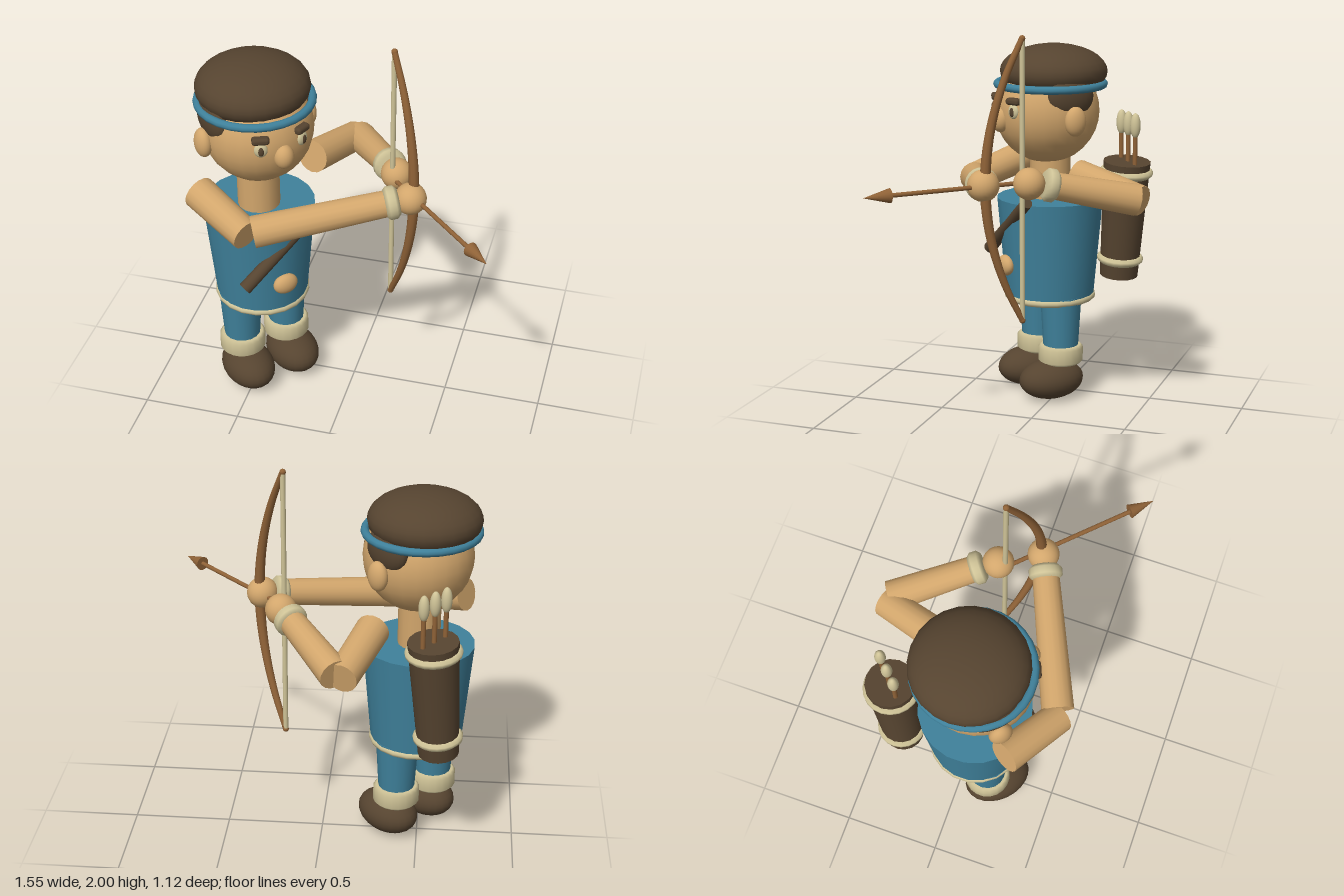
import * as THREE from 'three';
import { RoundedBoxGeometry } from 'three/addons/geometries/RoundedBoxGeometry.js';

const mat = (name, color) => {
  const m = new THREE.MeshStandardMaterial({ color });
  m.name = name;
  return m;
};

export function createModel() {
  const skin = mat('skin', 0xd2a66c);
  const blue = mat('blue cloth', 0x3f819b);
  const dark = mat('dark brown', 0x564430);
  const cream = mat('cream', 0xcfc397);
  const wood = mat('wood', 0x8f6237);

  const model = new THREE.Group();
  model.name = 'archer';
  // The figure faces diagonally, the bow side stays in model axes
  const body = new THREE.Group();
  body.name = 'body';
  body.position.set(-0.48, 0, 0.06);
  body.rotation.y = Math.PI / 4;
  model.add(body);

  const V = (p) => new THREE.Vector3(...p);
  const add = (parent, name, geo, material, pos = [0, 0, 0]) => {
    const m = new THREE.Mesh(geo, material);
    m.name = name;
    m.position.set(...pos);
    parent.add(m);
    return m;
  };
  const ball = (parent, name, material, pos, rx, ry = rx, rz = rx) =>
    add(parent, name, new THREE.SphereGeometry(1, 24, 16).scale(rx, ry, rz), material, pos);
  const alongY = (mesh, a, b) =>
    mesh.quaternion.setFromUnitVectors(new THREE.Vector3(0, 1, 0), V(b).sub(V(a)).normalize());
  // Tapered cylinder from point a to point b
  const rod = (name, material, a, b, ra, rb = ra) => {
    const geo = new THREE.CylinderGeometry(rb, ra, V(a).distanceTo(V(b)), 16);
    const m = add(model, name, geo, material, V(a).add(V(b)).multiplyScalar(0.5).toArray());
    alongY(m, a, b);
    return m;
  };
  // Band with rounded edges around the y axis
  const bandGeo = (r, h, bulge) => new THREE.LatheGeometry(
    [[0, -h / 2], [r - bulge, -h / 2], [r, -h / 2 + bulge], [r, h / 2 - bulge], [r - bulge, h / 2], [0, h / 2]]
      .map(([x, y]) => new THREE.Vector2(x, y)), 20);

  // Legs, cuffs and shoes
  for (const s of [-1, 1]) {
    const side = s > 0 ? 'left' : 'right';
    add(body, side + 'Leg', new THREE.CylinderGeometry(0.11, 0.09, 0.34, 16), blue, [s * 0.13, 0.4, 0]);
    add(body, side + 'ShoeCuff', bandGeo(0.12, 0.1, 0.015), cream, [s * 0.13, 0.252, 0]);
    ball(body, side + 'Shoe', dark, [s * 0.133, 0.115, 0.057], 0.13, 0.107, 0.18);
  }

  // Torso, hem, button and neck
  add(body, 'tunic', new THREE.CylinderGeometry(0.283, 0.235, 0.535, 20), blue, [0, 0.8175, 0]);
  add(body, 'hem', new THREE.TorusGeometry(0.225, 0.02, 10, 20).rotateX(Math.PI / 2), cream, [0, 0.55, 0]);
  ball(body, 'bellyButton', skin, [0, 0.735, 0.262], 0.066, 0.055, 0.038);
  add(body, 'neck', new THREE.CylinderGeometry(0.107, 0.107, 0.25, 16), skin, [0, 1.2, 0]);
  rod('chestStrap', dark, [-0.46, 0.78, 0.395], [-0.16, 1.11, 0.08], 0.034, 0.03);

  // Head, headband and hair
  ball(body, 'head', skin, [0, 1.548, 0.02], 0.275);
  ball(body, 'hairTop', dark, [0, 1.752, -0.018], 0.282, 0.143, 0.282);
  add(body, 'headband', new THREE.TorusGeometry(0.279, 0.021, 10, 28).rotateX(Math.PI / 2), blue, [0, 1.687, 0]);
  ball(body, 'nose', skin, [0, 1.513, 0.288], 0.05, 0.063, 0.05);
  for (const s of [-1, 1]) {
    const side = s > 0 ? 'left' : 'right';
    ball(body, side + 'Ear', skin, [s * 0.285, 1.525, 0], 0.042, 0.077, 0.058);
    ball(body, side + 'SideHair', dark, [s * 0.225, 1.645, 0], 0.06, 0.11, 0.13);
    const face = new THREE.Group();
    face.name = side + 'EyeGroup';
    face.position.set(s * 0.11, 0, 0.266);
    face.rotation.y = s * 0.4;
    body.add(face);
    ball(face, side + 'Eye', cream, [0, 1.57, 0], 0.033, 0.038, 0.018);
    ball(face, side + 'Pupil', dark, [0, 1.568, 0.012], 0.015, 0.025, 0.01);
    add(face, side + 'Eyebrow', new RoundedBoxGeometry(0.085, 0.036, 0.05, 3, 0.015), dark, [0, 1.622, -0.003]);
  }

  // Arms: shoulder, elbow, wrist, hand
  const arms = {
    right: { shoulder: [-0.71, 1.25, 0.29], elbow: [-0.41, 1.17, 0.47], bend: [-0.385, 1.18, 0.45],
      wrist: [0.23, 1.278, 0.177], hand: [0.315, 1.29, 0.137] },
    left: { shoulder: [-0.26, 1.25, -0.16], elbow: [-0.135, 1.17, -0.53], bend: [-0.105, 1.18, -0.515],
      wrist: [0.143, 1.278, -0.147], hand: [0.2, 1.29, -0.058] },
  };
  for (const [side, a] of Object.entries(arms)) {
    rod(side + 'UpperArm', skin, a.shoulder, a.elbow, 0.085, 0.078);
    rod(side + 'Forearm', skin, a.bend, a.wrist, 0.08, 0.066);
    const cuff = add(model, side + 'WristCuff', bandGeo(0.083, 0.07, 0.018), cream, a.wrist);
    alongY(cuff, a.bend, a.wrist);
    ball(model, side + 'Hand', skin, a.hand, 0.079);
  }

  // Bow: a curved limb that thins towards both tips
  const midY = 1.292, half = 0.7, tip = [0.188, -0.018], bulge = 0.14;
  const pts = [];
  for (let i = 0; i <= 8; i++) {
    const t = i / 4 - 1;
    const d = bulge * (1 - t * t);
    pts.push(new THREE.Vector3(tip[0] + d, midY + t * half, tip[1] + d));
  }
  const curve = new THREE.CatmullRomCurve3(pts);
  const steps = 32, sides = 10;
  const bowGeo = new THREE.TubeGeometry(curve, steps, 0.027, sides);
  const p = bowGeo.attributes.position, v = new THREE.Vector3();
  for (let i = 0; i <= steps; i++) {
    const c = curve.getPointAt(i / steps);
    const k = 1 - 0.45 * Math.abs((2 * i) / steps - 1);
    for (let j = 0; j <= sides; j++) {
      const n = i * (sides + 1) + j;
      v.fromBufferAttribute(p, n).sub(c).multiplyScalar(k).add(c);
      p.setXYZ(n, v.x, v.y, v.z);
    }
  }
  add(model, 'bow', bowGeo, wood);
  for (const s of [-1, 1]) ball(model, 'bowTip', wood, [tip[0], midY + s * half, tip[1]], 0.0155);
  rod('bowString', cream, [tip[0], midY - half, tip[1]], [tip[0], midY + half, tip[1]], 0.013);

  // Arrow on the bow
  rod('arrowShaft', wood, [0.19, 1.29, -0.014], [0.69, 1.29, 0.486], 0.011);
  rod('arrowHead', wood, [0.673, 1.29, 0.467], [0.768, 1.29, 0.562], 0.036, 0);

  // Quiver on the back with two bands and three spare arrows
  const low = [-0.6, 0.655, -0.29], high = [-0.556, 1.285, -0.34];
  rod('quiver', dark, low, high, 0.102, 0.125);
  for (const [t, r] of [[0.15, 0.107], [0.91, 0.124]]) {
    const band = add(model, 'quiverBand', bandGeo(r + 0.016, 0.042, 0.014), cream, V(low).lerp(V(high), t).toArray());
    alongY(band, low, high);
  }
  for (const i of [-1, 0, 1]) {
    const x = -0.56 + i * 0.052, z = -0.343 - i * 0.052;
    rod('spareArrowShaft', wood, [x, 1.1, z], [x, 1.45, z], 0.012);
    ball(model, 'spareArrowFeather', cream, [x, 1.482, z], 0.027, 0.066, 0.027);
  }
  return model;
}
